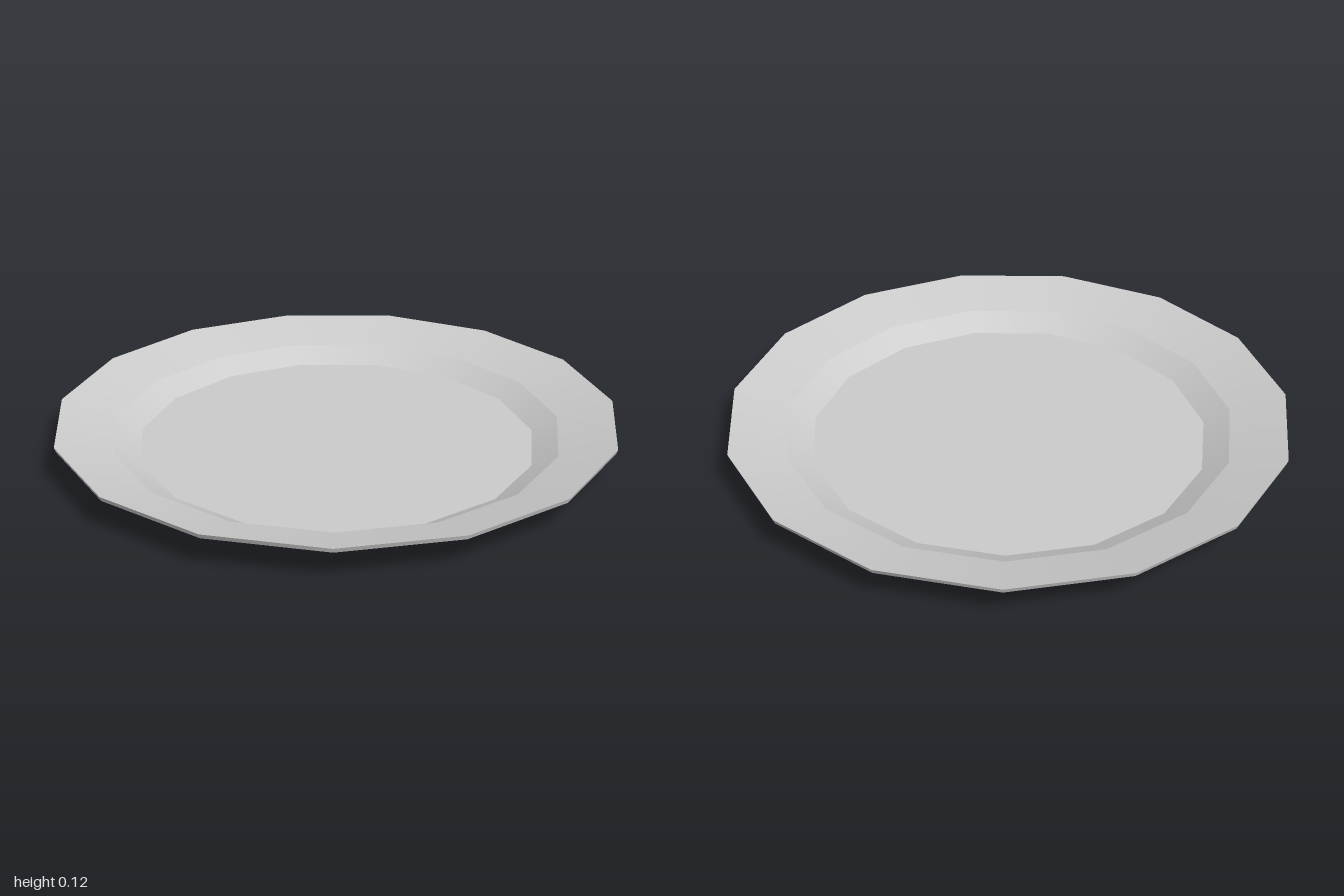
import * as THREE from 'three';

const SIDES = 15;

export function createModel() {
  const plate = new THREE.Group();
  plate.name = 'plate';
  const material = new THREE.MeshStandardMaterial({ color: 0xcccccc });

  // Closed profile [radius, height], from the underside centre round to the top centre
  const profile = [
    [0, 0], [0.712, 0], [0.804, 0.05], [1.0, 0.104],
    [1.0055, 0.12], [0.804, 0.066], [0.712, 0.016], [0, 0.016],
  ].map(([r, y]) => new THREE.Vector2(r, y));

  const names = ['base', 'lowerBevel', 'rimUnderside', 'rimEdge', 'rimTop', 'upperBevel', 'well'];

  // One band per profile segment: smooth around, crisp between bands
  names.forEach((name, i) => {
    const band = new THREE.LatheGeometry([profile[i], profile[i + 1]], SIDES, Math.PI / 2);
    const mesh = new THREE.Mesh(band, material);
    mesh.name = name;
    mesh.position.x = -0.011; // an odd number of sides is off centre
    plate.add(mesh);
  });

  return plate;
}
